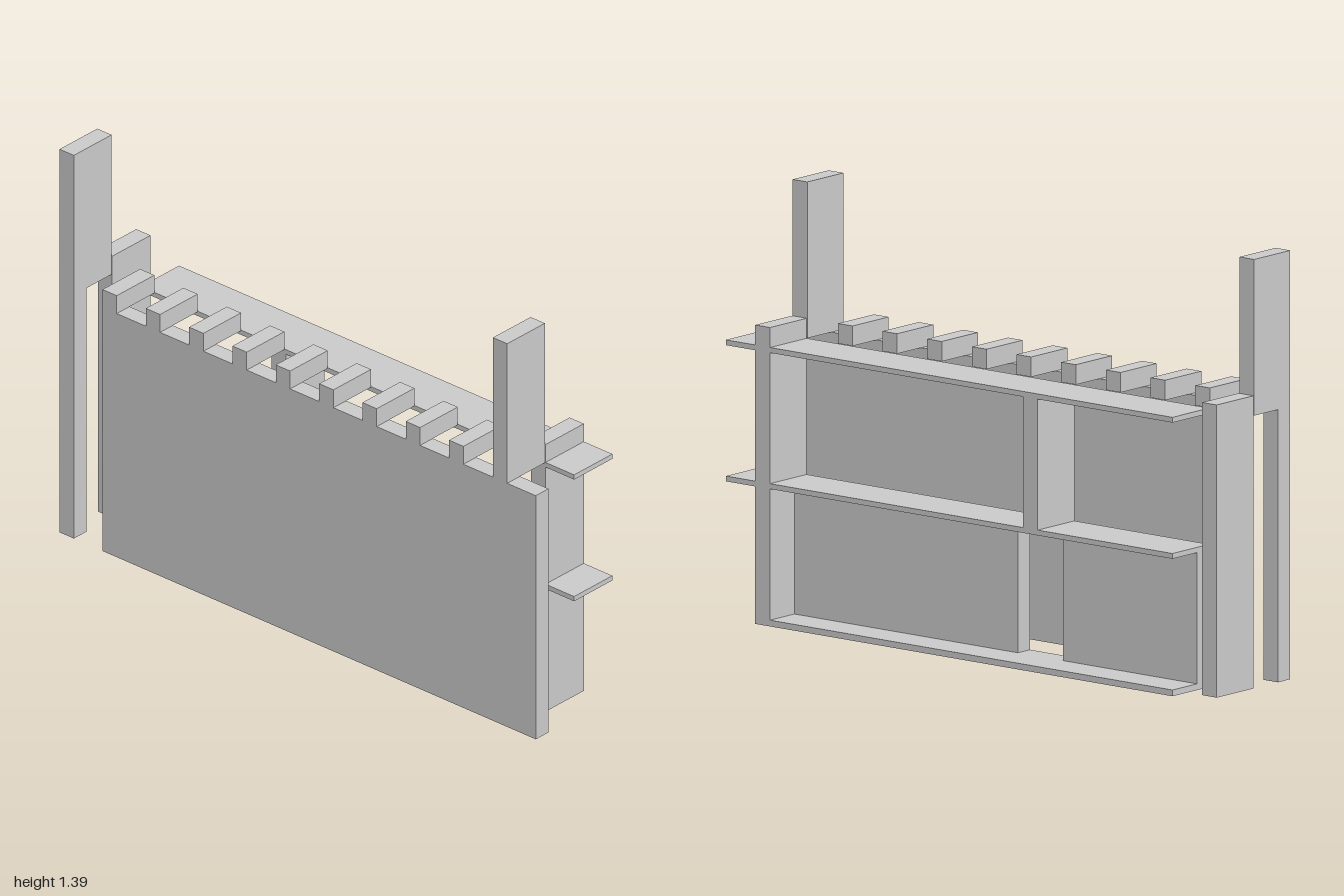
import * as THREE from 'three';

export function createModel() {
  const group = new THREE.Group();
  const material = new THREE.MeshStandardMaterial({ color: 0xcccccc, flatShading: true });

  // Box given by its extents along each axis
  const board = (name, [x0, x1], [y0, y1], [z0, z1]) => {
    const mesh = new THREE.Mesh(new THREE.BoxGeometry(x1 - x0, y1 - y0, z1 - z0), material);
    mesh.position.set((x0 + x1) / 2, (y0 + y1) / 2, (z0 + z1) / 2);
    mesh.name = name;
    group.add(mesh);
  };

  const back = [-0.18, -0.12];   // depth of the back wall
  const shelf = [0, 0.18];       // depth of the shelving
  const top = 0.893;
  const far = [-1, -0.94], near = [0.82, 0.88];

  // Back wall, and the slim leg that carries the far frame
  board('backWall', back, [0.02, top], [-0.82, 1]);
  board('farLeg', back, [0.02, top], far);

  // End frames: shelf-side upright plus raised back post
  for (const [side, z] of [['far', far], ['near', near]]) {
    board(side + 'Upright', shelf, [0.02, 0.957], z);
    board(side + 'RaisedPost', [-0.18, -0.003], [top, 1.393], z);
  }

  // Shelves, with short extensions beyond the near upright
  board('bottomShelf', shelf, [0, 0.02], [-0.82, 0.88]);
  for (const [name, y] of [['middleShelf', [0.44, 0.457]], ['topShelf', [0.876, top]]]) {
    board(name, shelf, y, [-0.82, near[0]]);
    board(name + 'Extension', shelf, y, [near[1], 1]);
  }

  // Upper divider and the two lower panels with a gap between them
  board('upperDivider', shelf, [0.457, 0.876], [-0.27, -0.21]);
  board('lowerPanelNear', [0, 0.06], [0.02, 0.44], [-0.09, 0.82]);
  board('lowerPanelFar', [0, 0.06], [0.02, 0.44], [-0.82, -0.273]);

  // Row of cross slats bridging the wall and the shelving
  for (let i = 0; i < 9; i++) {
    const z = -0.82 + i * 0.182;
    board('crossSlat', [-0.18, -0.003], [top, 0.957], [z, z + 0.06]);
  }

  return group;
}
